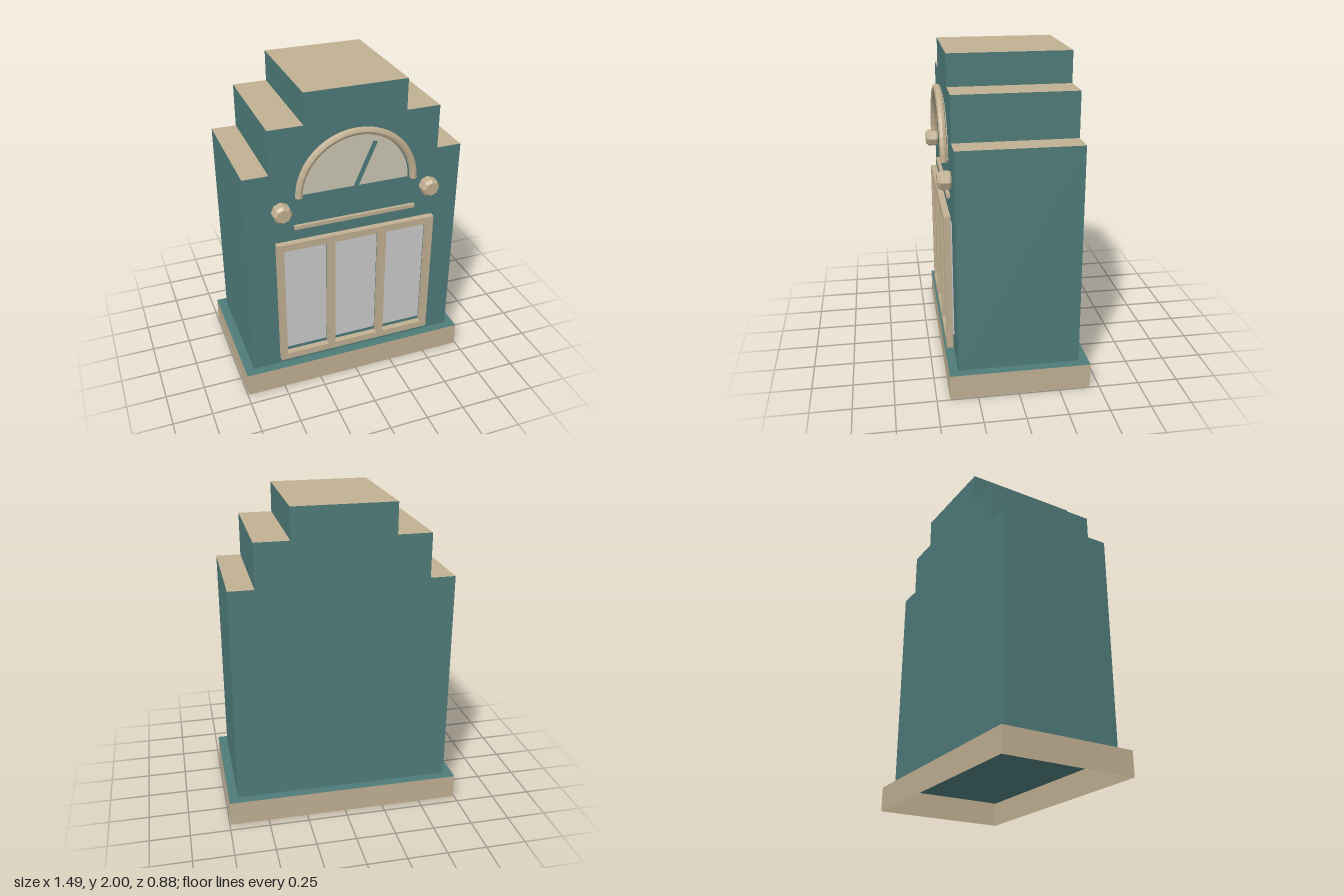
import * as THREE from 'three';

export function createModel() {
  const model = new THREE.Group();
  model.name = 'steppedCabinet';

  const paint = (name, color) => {
    const m = new THREE.MeshStandardMaterial({ color, side: THREE.DoubleSide, flatShading: true });
    m.name = name;
    return m;
  };
  const teal = paint('teal', 0x4e7b79);
  const tan = paint('tan', 0xc1b092);
  const paneGrey = paint('paneGrey', 0xcacaca);
  const dialCream = paint('dialCream', 0xccc6b4);

  const add = (name, geometry, material, x = 0, y = 0, z = 0) => {
    const mesh = new THREE.Mesh(geometry, material);
    mesh.name = name;
    mesh.position.set(x, y, z);
    model.add(mesh);
    return mesh;
  };
  const rect = (path, x0, x1, y0, y1) => {
    path.moveTo(x0, y0);
    path.lineTo(x1, y0);
    path.lineTo(x1, y1);
    path.lineTo(x0, y1);
    path.closePath();
    return path;
  };

  const FRONT = 0.362, BACK = -0.381, BASE_TOP = 0.156;

  // Plinth: four tan walls, open underneath, with a teal top
  const baseDepth = 0.861, baseZ = -0.0115;
  const walls = new THREE.BoxGeometry(1.486, BASE_TOP, baseDepth);
  const index = Array.from(walls.index.array);
  walls.setIndex([...index.slice(0, 12), ...index.slice(24)]); // drop top and bottom
  walls.clearGroups();
  add('baseWalls', walls, tan, 0, BASE_TOP / 2, baseZ);
  add('baseTop', new THREE.PlaneGeometry(1.486, baseDepth).rotateX(-Math.PI / 2), teal, 0, BASE_TOP, baseZ);

  // Stepped body: teal tiers with tan tops
  const tiers = [[0.685, BASE_TOP, 1.531], [0.528, 1.531, 1.807], [0.315, 1.807, 2]];
  tiers.forEach(([half, y0, y1], i) => {
    add(`bodyTier${i + 1}`, new THREE.BoxGeometry(half * 2, y1 - y0, FRONT - BACK),
      [teal, teal, tan, teal, teal, teal], 0, (y0 + y1) / 2, (FRONT + BACK) / 2);
  });

  // Window frame with three openings, standing just off the front
  const frame = rect(new THREE.Shape(), -0.51, 0.51, 0.215, 1.083);
  const openings = [[-0.468, -0.19], [-0.145, 0.145], [0.19, 0.468]];
  openings.forEach(([x0, x1]) => frame.holes.push(rect(new THREE.Path(), x0, x1, 0.26, 1.037)));
  add('windowFrame', new THREE.ExtrudeGeometry(frame, { depth: 0.039, bevelEnabled: false }), tan, 0, 0, 0.373);

  // Window panes, slightly shorter than the openings
  openings.forEach(([x0, x1], i) => {
    add(`windowPane${i + 1}`, new THREE.BoxGeometry(x1 - x0, 0.742, 0.006), paneGrey,
      (x0 + x1) / 2, 0.649, FRONT + 0.003);
  });

  // Ledge strip above the window
  add('ledgeStrip', new THREE.BoxGeometry(0.774, 0.024, 0.02), tan, 0, 1.167, FRONT + 0.01);

  // Half-round dial, its rim and needle
  const DIAL_Y = 1.375;
  const half = new THREE.Shape();
  half.absarc(0, 0, 0.336, 0, Math.PI, false);
  half.closePath();
  add('dialFace', new THREE.ExtrudeGeometry(half, { depth: 0.006, bevelEnabled: false, curveSegments: 24 }),
    dialCream, 0, DIAL_Y, FRONT);
  add('dialRim', new THREE.TorusGeometry(0.3615, 0.0235, 8, 24, Math.PI), tan, 0, DIAL_Y, 0.391);
  const needle = new THREE.BoxGeometry(0.026, 0.295, 0.008).translate(0, 0.148, 0);
  add('dialNeedle', needle, teal, 0, DIAL_Y, FRONT + 0.009).rotation.z = -0.41;

  // Eight-sided knobs with bevelled fronts
  const profile = [[0, 0], [0.05, 0], [0.058, 0.012], [0.058, 0.062], [0.043, 0.081], [0, 0.081]]
    .map(([r, h]) => new THREE.Vector2(r, h));
  for (const side of [-1, 1]) {
    const knob = new THREE.LatheGeometry(profile, 8).rotateX(Math.PI / 2);
    add(side > 0 ? 'leftKnob' : 'rightKnob', knob, tan, side * 0.47, 1.297, FRONT);
  }

  return model;
}
